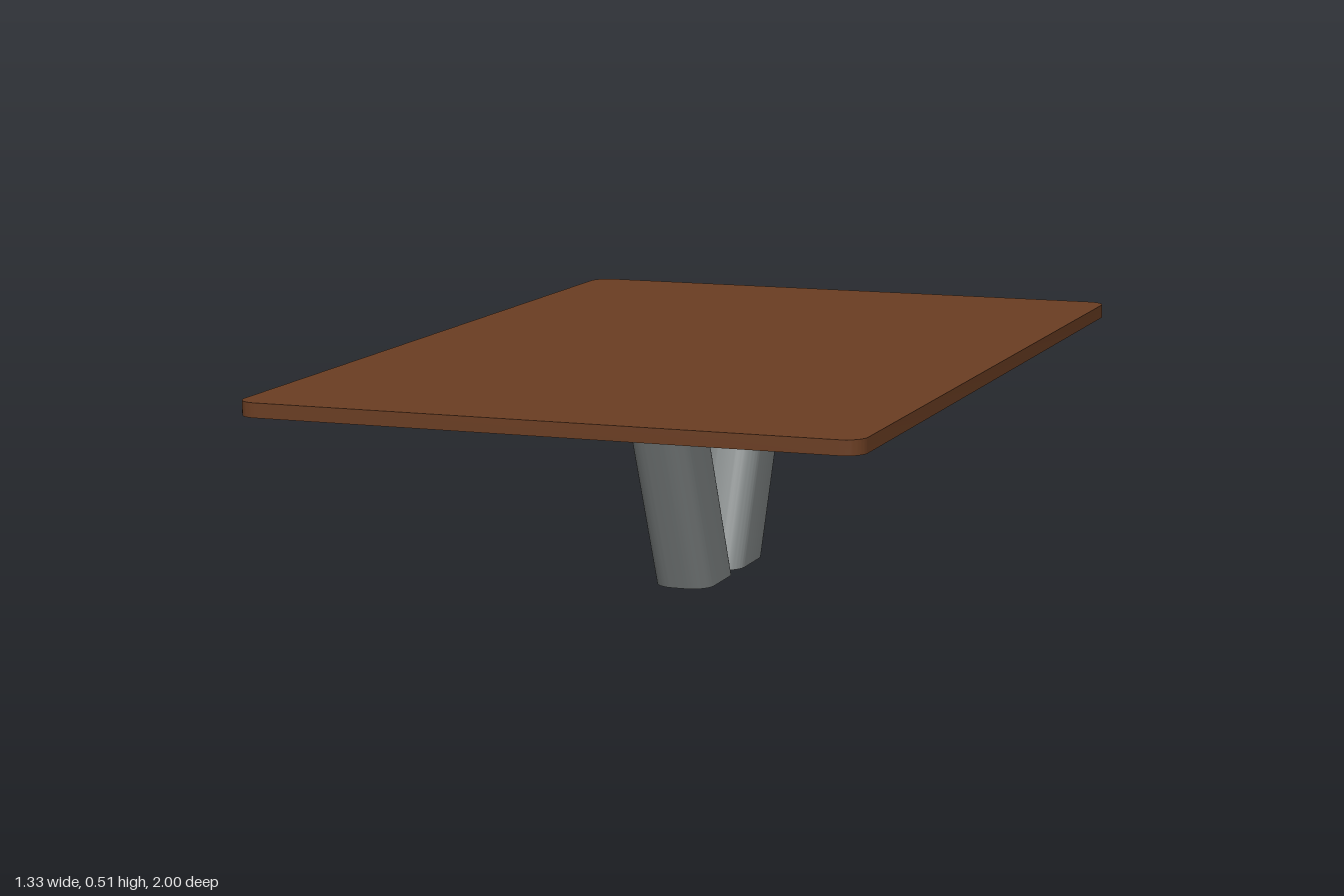
import * as THREE from 'three';
import { toCreasedNormals } from 'three/addons/utils/BufferGeometryUtils.js';

// Rounded rectangle centred on the origin
function roundedRect(w, d, r) {
  const s = new THREE.Shape();
  const x = w / 2, y = d / 2;
  s.absarc(x - r, y - r, r, 0, Math.PI / 2);
  s.absarc(-x + r, y - r, r, Math.PI / 2, Math.PI);
  s.absarc(-x + r, -y + r, r, Math.PI, Math.PI * 1.5);
  s.absarc(x - r, -y + r, r, Math.PI * 1.5, Math.PI * 2);
  s.closePath();
  return s;
}

// Upright slab with a rounded-rectangle plan, standing on y = 0
function slab(w, d, h, r) {
  return new THREE.ExtrudeGeometry(roundedRect(w, d, r), {
    depth: h, bevelEnabled: false, curveSegments: 8,
  }).rotateX(-Math.PI / 2);
}

export function createModel() {
  const model = new THREE.Group();
  const wood = new THREE.MeshStandardMaterial({ color: 0x6b3e23 });
  wood.name = 'brown wood';
  const metal = new THREE.MeshStandardMaterial({ color: 0x808585 });
  metal.name = 'grey metal';

  // Thin table top
  const top = new THREE.Mesh(toCreasedNormals(slab(1.325, 2, 0.031, 0.045), 0.6), wood);
  top.name = 'tableTop';
  top.position.y = 0.48;
  model.add(top);

  // Two slanted legs meeting at the floor in a V, with level ends
  const height = 0.458;
  for (const side of [1, -1]) {
    const shear = new THREE.Matrix4().set(
      1, 0, 0, 0,
      0, 1, 0, 0,
      0, side * 0.2 / height, 1, side * 0.102,
      0, 0, 0, 1);
    const geometry = slab(0.13, 0.204, height, 0.05).applyMatrix4(shear);
    const leg = new THREE.Mesh(toCreasedNormals(geometry, 0.6), metal);
    leg.name = side > 0 ? 'frontLeg' : 'backLeg';
    leg.position.y = 0.006;
    model.add(leg);
  }

  // Small foot pad where the legs meet
  const pad = new THREE.Mesh(slab(0.04, 0.1, 0.008, 0.015), metal);
  pad.name = 'footPad';
  model.add(pad);
  return model;
}
